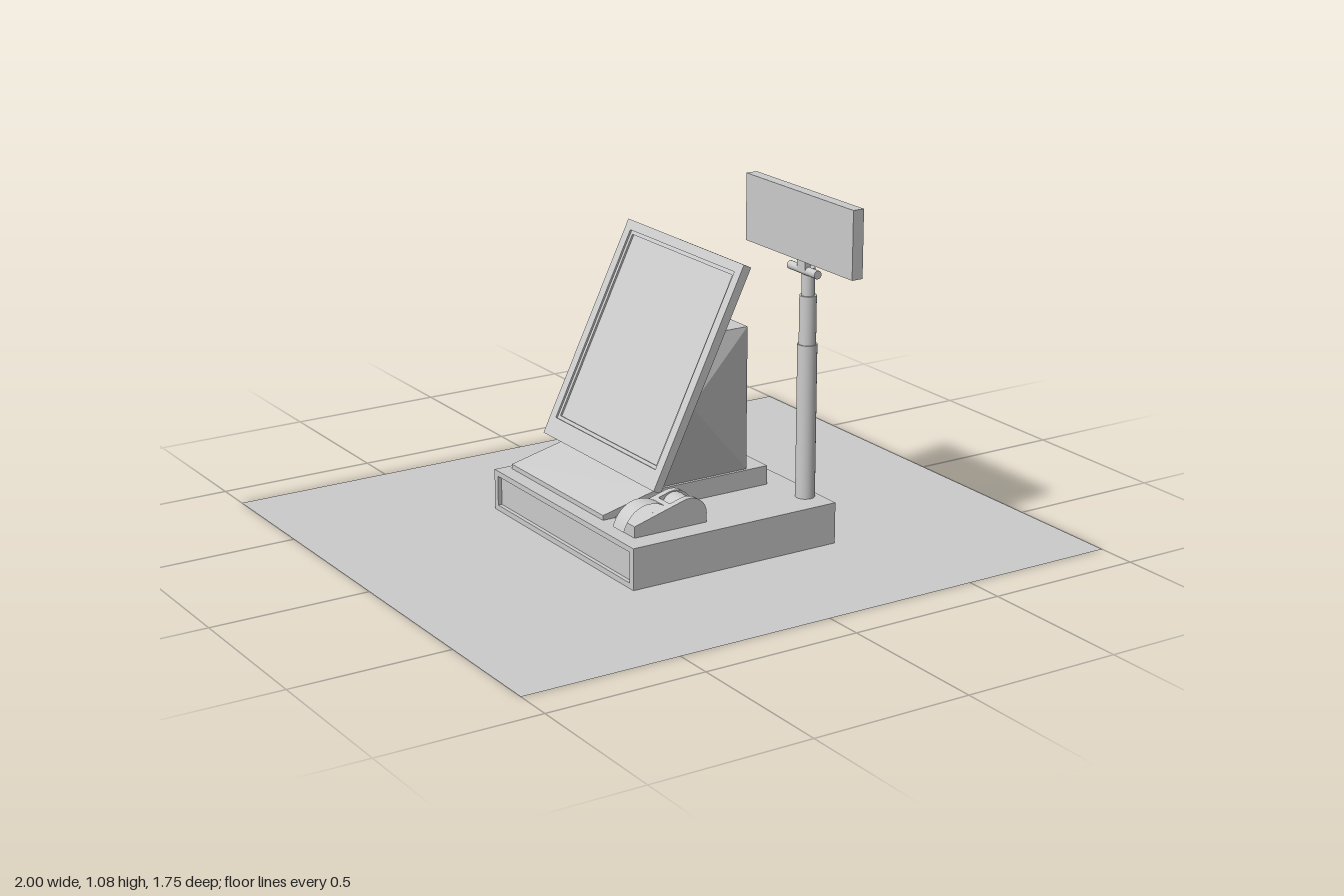
import * as THREE from 'three';

const material = new THREE.MeshStandardMaterial({ color: 0xcccccc, side: THREE.DoubleSide });
const flat = new THREE.MeshStandardMaterial({ color: 0xcccccc, side: THREE.DoubleSide, flatShading: true });

function add(parent, name, geometry, mat = material) {
  const mesh = new THREE.Mesh(geometry, mat);
  mesh.name = name;
  parent.add(mesh);
  return mesh;
}

// Box given by its minimum and maximum corners
function box(parent, name, [x0, y0, z0], [x1, y1, z1]) {
  const mesh = add(parent, name, new THREE.BoxGeometry(x1 - x0, y1 - y0, z1 - z0));
  mesh.position.set((x0 + x1) / 2, (y0 + y1) / 2, (z0 + z1) / 2);
  return mesh;
}

// Side profile in x, y swept from z0 to z1
function sweep(parent, name, shape, z0, z1) {
  const geometry = new THREE.ExtrudeGeometry(shape, { depth: z1 - z0, bevelEnabled: false, curveSegments: 10 });
  geometry.translate(0, 0, z0);
  return add(parent, name, geometry);
}

const polygon = (points) => new THREE.Shape(points.map(([x, y]) => new THREE.Vector2(x, y)));
const rectangle = (a, b, c, d) => polygon([[a, b], [c, b], [c, d], [a, d]]);

// Rectangular rim in the z, y plane that grows toward -x from x = 0
function rim(parent, name, outer, inner, depth) {
  const shape = rectangle(...outer);
  shape.holes.push(rectangle(...inner));
  const geometry = new THREE.ExtrudeGeometry(shape, { depth, bevelEnabled: false });
  geometry.rotateY(-Math.PI / 2);
  return add(parent, name, geometry);
}

// Housing with a slanted face and one bulged front edge
function housingGeometry() {
  const profile = [[-0.105, 0.19], [0.205, 0.19], [0.205, 0.64], [0.07, 0.64]];
  const points = [];
  for (const z of [-0.355, 0.15]) for (const [x, y] of profile) points.push(x, y, z);
  points.push(-0.02, 0.44, 0.19);
  const geometry = new THREE.BufferGeometry();
  geometry.setAttribute('position', new THREE.Float32BufferAttribute(points, 3));
  geometry.setIndex([
    0, 3, 2, 0, 2, 1, // rear
    8, 4, 5, 8, 5, 6, 8, 6, 7, // front
    8, 7, 3, 8, 3, 0, 8, 0, 4, // slanted side
    1, 2, 6, 1, 6, 5, // upright side
    3, 7, 6, 3, 6, 2, // top
    0, 1, 5, 0, 5, 4, // bottom
  ]);
  const separate = geometry.toNonIndexed();
  separate.computeVertexNormals();
  return separate;
}

function createPrinter() {
  const printer = new THREE.Group();
  printer.name = 'receiptPrinter';
  const cheek = polygon([[-0.31, 0.13], [-0.31, 0.165], [-0.15, 0.21]]);
  cheek.quadraticCurveTo(-0.1, 0.227, -0.07, 0.19);
  cheek.quadraticCurveTo(-0.06, 0.175, -0.06, 0.16);
  cheek.lineTo(-0.06, 0.13);
  sweep(printer, 'printerCheek', cheek, 0.23, 0.252);
  sweep(printer, 'printerCheek', cheek, 0.313, 0.335);
  const middle = polygon([[-0.31, 0.13], [-0.31, 0.165], [-0.175, 0.203], [-0.165, 0.165], [-0.06, 0.165], [-0.06, 0.13]]);
  sweep(printer, 'printerBody', middle, 0.252, 0.313);
  const roll = add(printer, 'paperRoll', new THREE.CylinderGeometry(0.042, 0.042, 0.061, 24));
  roll.rotation.x = Math.PI / 2;
  roll.position.set(-0.122, 0.17, 0.2825);

  // Paper strip curling out of the slot
  const curve = new THREE.CubicBezierCurve(
    new THREE.Vector2(-0.185, 0.195), new THREE.Vector2(-0.22, 0.22),
    new THREE.Vector2(-0.3, 0.235), new THREE.Vector2(-0.333, 0.145));
  const strip = new THREE.PlaneGeometry(1, 0.06, 14, 1);
  const pos = strip.attributes.position;
  for (let i = 0; i < pos.count; i++) {
    const p = curve.getPoint(pos.getX(i) + 0.5);
    pos.setXYZ(i, p.x, p.y, 0.2825 + pos.getY(i));
  }
  strip.computeVertexNormals();
  add(printer, 'paperStrip', strip);
  return printer;
}

function createScreen() {
  const screen = new THREE.Group();
  screen.name = 'screen';
  // Local y runs up the slope, local -x faces the operator
  box(screen, 'screenBack', [0.012, 0, -0.425], [0.028, 0.718, 0.217]);
  rim(screen, 'screenBezel', [-0.425, 0, 0.217, 0.718], [-0.393, 0.06, 0.185, 0.688], 0.012).position.x = 0.012;
  rim(screen, 'innerBezel', [-0.393, 0.06, 0.185, 0.688], [-0.382, 0.071, 0.174, 0.677], 0.006).position.x = 0.012;
  screen.position.set(-0.17, 0.21, 0);
  screen.rotation.z = -0.454;
  return screen;
}

function createCustomerDisplay() {
  const display = new THREE.Group();
  display.name = 'customerDisplay';
  // Telescopic pole
  const steps = [[0.03, 0.13, 0.61], [0.026, 0.61, 0.76], [0.02, 0.76, 0.845]];
  for (const [radius, y0, y1] of steps) {
    const section = add(display, 'poleSection', new THREE.CylinderGeometry(radius, radius, y1 - y0, 24));
    section.position.set(0.312, (y0 + y1) / 2, 0.308);
  }
  // Tilt hinge and neck
  const hinge = add(display, 'tiltHinge', new THREE.CylinderGeometry(0.013, 0.013, 0.14, 16));
  hinge.rotation.x = Math.PI / 2;
  hinge.position.set(0.298, 0.838, 0.305);
  box(display, 'neck', [0.285, 0.835, 0.288], [0.305, 0.875, 0.328]);
  box(display, 'displayPanel', [0.278, 0.87, 0.03], [0.315, 1.077, 0.57]);
  return display;
}

export function createModel() {
  const model = new THREE.Group();
  model.name = 'cashRegister';

  const counter = add(model, 'counterTop', new THREE.PlaneGeometry(2, 1.75));
  counter.rotation.x = -Math.PI / 2;

  // Cash drawer with a recessed front panel
  box(model, 'cashDrawer', [-0.345, 0.001, -0.405], [0.355, 0.13, 0.405]);
  rim(model, 'drawerRim', [-0.405, 0.001, 0.405, 0.13], [-0.385, 0.018, 0.385, 0.113], 0.013).position.x = -0.345;

  // Plinth sloping down toward the drawer front
  sweep(model, 'plinth', polygon([[-0.31, 0.13], [0.275, 0.13], [0.275, 0.19], [-0.12, 0.19], [-0.31, 0.145]]), -0.38, 0.16);

  add(model, 'housing', housingGeometry(), flat);
  model.add(createScreen(), createPrinter(), createCustomerDisplay());
  return model;
}
